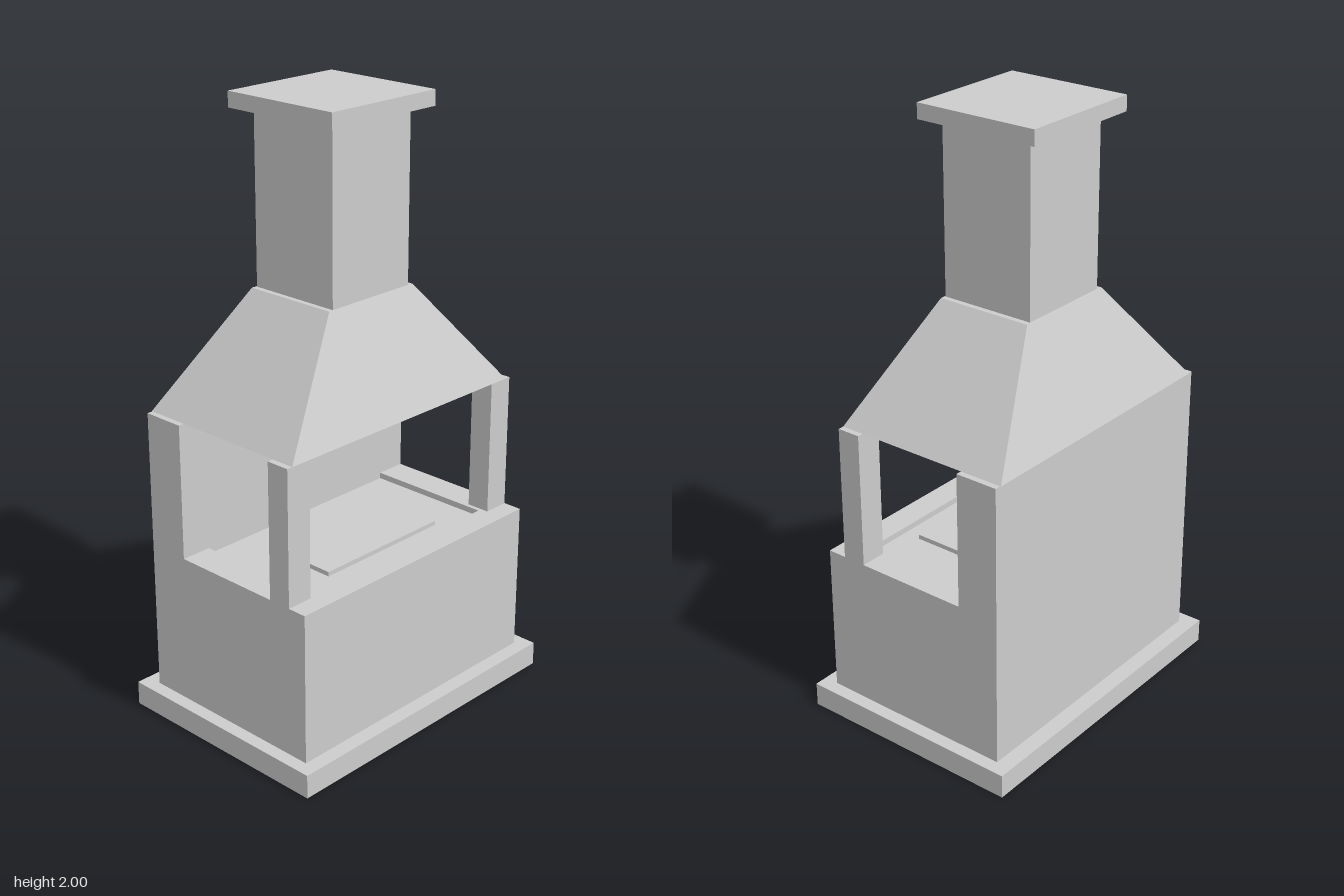
import * as THREE from 'three';

export function createModel() {
  const group = new THREE.Group();
  const stone = new THREE.MeshStandardMaterial({ color: 0xcccccc });
  stone.name = 'pale grey stone';

  const add = (name, geometry) => {
    const mesh = new THREE.Mesh(geometry, stone);
    mesh.name = name;
    group.add(mesh);
    return mesh;
  };

  // Box given by its limits on each axis
  const block = (name, x0, x1, y0, y1, z0, z1) => {
    const g = new THREE.BoxGeometry(x1 - x0, y1 - y0, z1 - z0);
    g.translate((x0 + x1) / 2, (y0 + y1) / 2, (z0 + z1) / 2);
    return add(name, g);
  };

  const rect = (P, x0, x1, y0, y1) => {
    const p = new P();
    p.moveTo(x0, y0).lineTo(x1, y0).lineTo(x1, y1).lineTo(x0, y1).closePath();
    return p;
  };

  // Plinth and hearth body
  block('plinth', -0.55, 0.55, 0, 0.08, -0.39, 0.39);
  block('hearthBody', -0.505, 0.505, 0.08, 0.565, -0.335, 0.34);

  // Raised rim around the shallow fire bed (shape y becomes -z)
  const rim = rect(THREE.Shape, -0.505, 0.505, -0.34, 0.335);
  rim.holes.push(rect(THREE.Path, -0.4, 0.4, -0.25, 0.19));
  const rimGeometry = new THREE.ExtrudeGeometry(rim, { depth: 0.02, bevelEnabled: false });
  rimGeometry.rotateX(-Math.PI / 2).translate(0, 0.565, 0);
  add('hearthRim', rimGeometry);
  block('firePlate', -0.25, 0.25, 0.565, 0.58, -0.07, 0.19);

  // Back wall and the two front posts
  block('backWall', -0.505, 0.505, 0.585, 1.035, -0.335, -0.19);
  block('rightPost', -0.505, -0.415, 0.585, 1.035, 0.195, 0.275);
  block('leftPost', 0.415, 0.505, 0.585, 1.035, 0.195, 0.275);

  // Hood: a box whose top is drawn in to the chimney
  const hood = new THREE.BoxGeometry(1, 1, 1);
  const pos = hood.attributes.position;
  for (let i = 0; i < pos.count; i++) {
    const top = pos.getY(i) > 0;
    const x = (top ? 0.185 : 0.485) * Math.sign(pos.getX(i));
    const z = pos.getZ(i) > 0 ? (top ? 0.133 : 0.275) : (top ? -0.197 : -0.338);
    pos.setXYZ(i, x, top ? 1.395 : 1.035, z);
  }
  hood.computeVertexNormals();
  add('hood', hood);

  // Chimney and cap
  block('chimney', -0.167, 0.167, 1.395, 1.95, -0.193, 0.13);
  block('chimneyCap', -0.22, 0.22, 1.95, 2, -0.247, 0.18);

  return group;
}
